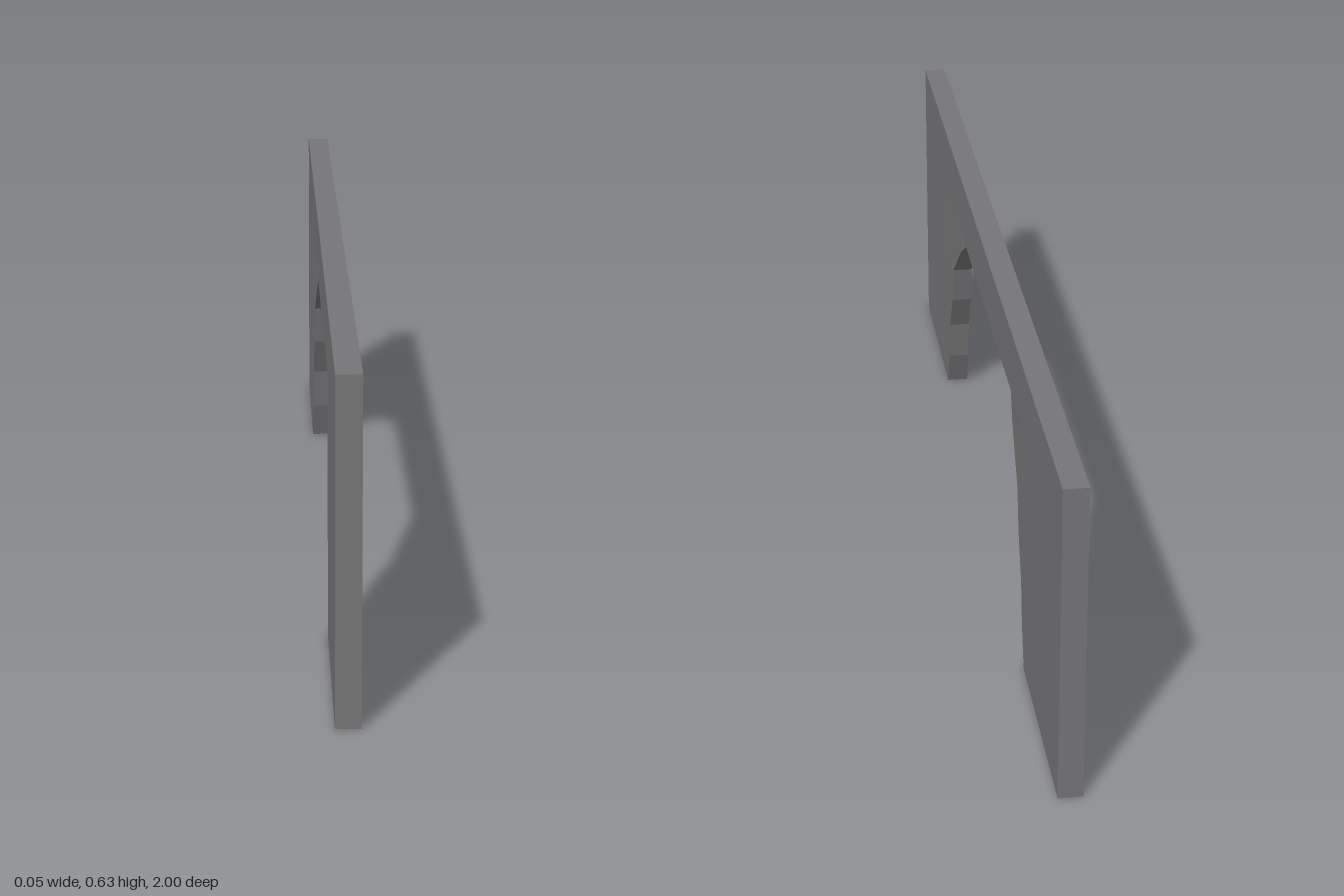
import * as THREE from 'three';

const HALF = 0.023, HEIGHT = 0.635, SPRING = 0.51, PIER = 0.6;
// arch edge from foot to crown: [distance from centre, height]
const ARCH = [[0.6, 0], [0.57, 0.08], [0.553, 0.17], [0.51, 0.255], [0.49, 0.34], [0.39, 0.43], [0.275, SPRING]];
// half thickness of the spandrel, thinning towards the crown
const TAPER = [[0.275, 0.005], [0.39, 0.016], [0.49, 0.0205], [0.6, HALF]];

function halfThickness(d) {
  for (let i = 1; i < TAPER.length; i++) {
    const [d0, t0] = TAPER[i - 1], [d1, t1] = TAPER[i];
    if (d <= d1) return THREE.MathUtils.mapLinear(d, d0, d1, t0, t1);
  }
  return HALF;
}

function spandrelGeometry(side) {
  const outline = [...ARCH, [0.39, SPRING], [0.49, SPRING], [PIER, SPRING]];
  const shape = new THREE.Shape(outline.map(([d, y]) => new THREE.Vector2(-side * d, y)));
  const geometry = new THREE.ExtrudeGeometry(shape, { depth: 2 * HALF, bevelEnabled: false });
  geometry.translate(0, 0, -HALF).rotateY(Math.PI / 2);
  // thin the panel evenly from both faces
  const p = geometry.attributes.position;
  for (let i = 0; i < p.count; i++) {
    p.setX(i, Math.sign(p.getX(i)) * halfThickness(Math.abs(p.getZ(i))));
  }
  geometry.computeVertexNormals();
  return geometry;
}

export function createModel() {
  const group = new THREE.Group();
  group.name = 'archedWall';
  const stone = new THREE.MeshStandardMaterial({ color: 0x757577 });
  stone.name = 'grey stone';

  const add = (name, geometry, y = 0, z = 0) => {
    const mesh = new THREE.Mesh(geometry, stone);
    mesh.name = name;
    mesh.position.set(0, y, z);
    group.add(mesh);
  };

  // beam across the top
  add('topBeam', new THREE.BoxGeometry(2 * HALF, HEIGHT - SPRING, 2), (HEIGHT + SPRING) / 2);

  // pier and tapered spandrel at each end
  for (const side of [1, -1]) {
    const end = side > 0 ? 'front' : 'back';
    add(end + 'Pier', new THREE.BoxGeometry(2 * HALF, SPRING, 1 - PIER), SPRING / 2, side * (1 + PIER) / 2);
    add(end + 'Spandrel', spandrelGeometry(side));
  }
  return group;
}
